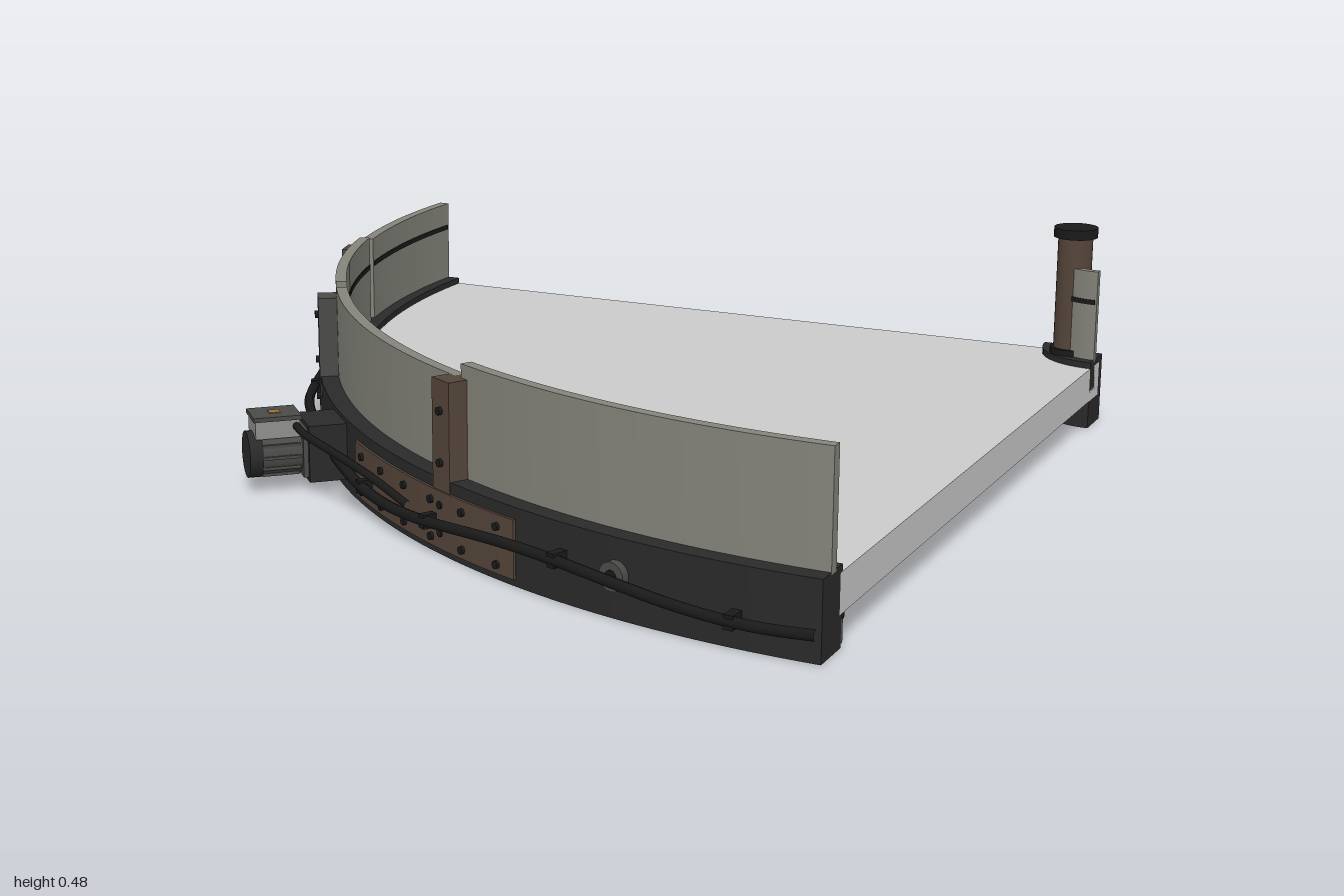
import * as THREE from 'three';
import { toCreasedNormals } from 'three/addons/utils/BufferGeometryUtils.js';

const DEG = Math.PI / 180;
const mat = (color) => new THREE.MeshStandardMaterial({ color });
const M = {
  belt: mat(0xcccccc), frame: mat(0x2a2a2a), black: mat(0x1a1a1a), guard: mat(0x85857c),
  wall: mat(0x55574f), bracket: mat(0x55453a), steel: mat(0x4a4a48), box: mat(0x90908c), amber: mat(0xa07040),
};

export function createModel() {
  const model = new THREE.Group();
  model.name = 'curvedConveyor';
  // The bend's pivot is the origin of this group; angle 0 is -x, 90 is +z
  const bend = new THREE.Group();
  bend.name = 'bend';
  bend.position.set(0.995, 0, -0.995);
  model.add(bend);

  const add = (name, geo, material, parent = bend) => {
    const mesh = new THREE.Mesh(geo, material);
    mesh.name = name;
    parent.add(mesh);
    return mesh;
  };
  const polar = (deg, r, y) =>
    new THREE.Vector3(-r * Math.cos(deg * DEG), y, r * Math.sin(deg * DEG));

  // Ring sector between two radii, heights and angles
  const sector = (name, r0, r1, y0, y1, material, a0 = 0, a1 = 90) => {
    const s = new THREE.Shape();
    const t0 = Math.PI + a0 * DEG, t1 = Math.PI + a1 * DEG;
    s.absarc(0, 0, r1, t0, t1, false);
    s.absarc(0, 0, r0, t1, t0, true);
    s.closePath();
    const steps = Math.max(8, Math.ceil((a1 - a0) / 1.5));
    const g = new THREE.ExtrudeGeometry(s, { depth: y1 - y0, bevelEnabled: false, curveSegments: steps });
    g.rotateX(-Math.PI / 2).translate(0, y0, 0);
    return add(name, toCreasedNormals(g, 0.5), material);
  };
  // Group whose local +x points outward from the pivot
  const radial = (name, deg, r, y) => {
    const g = new THREE.Group();
    g.name = name;
    g.position.copy(polar(deg, r, y));
    g.rotation.y = Math.PI + deg * DEG;
    bend.add(g);
    return g;
  };
  const box = (name, size, pos, material, parent) =>
    add(name, new THREE.BoxGeometry(...size), material, parent).position.set(...pos);
  const rod = (name, radius, len, pos, material, parent, sides = 20) => {
    const g = new THREE.CylinderGeometry(radius, radius, len, sides).rotateZ(Math.PI / 2);
    add(name, g, material, parent).position.set(...pos);
  };

  // Belt wedge and outer frame
  sector('belt', 0.08, 1.86, 0.067, 0.15, M.belt);
  sector('outerFrame', 1.85, 1.95, 0, 0.165, M.frame);
  sector('innerWall', 1.842, 1.851, 0.008, 0.055, M.wall);
  sector('beltLedge', 1.835, 1.852, 0.055, 0.067, M.black);
  for (const a of [8, 22, 37, 53, 68, 82]) {
    rod('wallScrew', 0.008, 0.008, [0, 0, 0], M.black, radial('wallScrewMount', a, 1.841, 0.03), 8);
  }

  // Side guards, each with a dark groove on its inner face
  for (const [a0, a1, top] of [[0, 16.4, 0.375], [17.4, 33.6, 0.385], [34.2, 61.3, 0.375], [62, 90, 0.405]]) {
    sector('guard', 1.882, 1.908, 0.16, top, M.guard, a0, a1);
    sector('guardGroove', 1.8795, 1.883, 0.303, 0.315, M.black, a0 + 0.2, a1 - 0.2);
  }

  // Upright guard brackets with bolts
  for (const [a, top, material] of [[16.9, 0.355, M.bracket], [34, 0.355, M.steel], [61.7, 0.375, M.bracket]]) {
    const g = radial('guardBracket', a, 1.93, 0);
    box('upright', [0.044, top - 0.02, 0.065], [0, (top + 0.02) / 2, 0], material, g);
    box('jointPlate', [0.02, top - 0.17, 0.06], [-0.026, (top + 0.17) / 2, 0], material, g);
    for (const y of [0.05, 0.11, 0.2, 0.31]) {
      rod('bolt', 0.009, 0.01, [0.025, y, 0], M.black, g, 8);
    }
  }

  // Joint plate on the outer face of the frame
  sector('splicePlate', 1.948, 1.956, 0.015, 0.14, M.bracket, 49, 69);
  for (let i = 0; i < 6; i++) {
    for (const y of [0.035, 0.115]) {
      rod('spliceBolt', 0.009, 0.01, [0, 0, 0], M.black, radial('spliceBoltMount', 50.5 + i * 3.4, 1.958, y), 8);
    }
  }

  // Round sensors on the outside of the frame
  for (const a of [14, 77]) {
    const g = radial('sensor', a, 1.955, 0.09);
    rod('sensorBody', 0.03, 0.025, [0, 0, 0], M.steel, g);
    rod('sensorLens', 0.014, 0.032, [0, 0, 0], M.black, g, 12);
  }

  // Cable along the frame, with clips
  const cableY = (a) => 0.08 + 0.018 * Math.sin(a * 0.2);
  const path = [];
  for (let a = 0; a <= 90; a += 3) path.push(polar(a, 1.978, cableY(a)));
  const tube = (name, pts, r, n) =>
    add(name, new THREE.TubeGeometry(new THREE.CatmullRomCurve3(pts), n, r, 8), M.black);
  tube('mainCable', path, 0.012, 120);
  for (const a of [7, 26, 52, 61, 73, 85]) {
    box('cableClip', [0.04, 0.03, 0.02], [0, 0, 0], M.black, radial('cableClipMount', a, 1.967, cableY(a)));
  }

  // Drive motor: gearbox, round body, terminal box and fan cover
  const motor = radial('driveMotor', 44.6, 1.95, 0.09);
  box('gearbox', [0.11, 0.13, 0.13], [0.03, 0, 0], M.frame, motor);
  box('gearboxFlange', [0.012, 0.11, 0.11], [0.09, 0, 0], M.steel, motor);
  rod('motorBody', 0.05, 0.12, [0.15, -0.005, 0], M.steel, motor, 24);
  rod('fanCover', 0.053, 0.03, [0.2, -0.005, 0], M.frame, motor, 24);
  for (let i = 0; i < 12; i++) {
    const t = (i * Math.PI) / 6;
    box('coolingFin', [0.085, 0.007, 0.007], [0.143, -0.005 + 0.051 * Math.sin(t), 0.051 * Math.cos(t)], M.steel, motor);
  }
  box('terminalBox', [0.1, 0.045, 0.085], [0.15, 0.06, 0], M.box, motor);
  box('terminalLid', [0.108, 0.01, 0.093], [0.15, 0.083, 0], M.steel, motor);
  box('ratingPlate', [0.025, 0.003, 0.025], [0.15, 0.0885, 0], M.amber, motor);
  tube('motorCable', [polar(46, 2.06, 0.155), polar(48, 2.06, 0.155), polar(51, 2.03, 0.14),
    polar(55, 2.0, 0.12), polar(59, 1.98, 0.09)], 0.009, 40);

  // Inner corner: hub, small guard and post
  sector('innerHub', 0.055, 0.16, 0, 0.165, M.frame);
  sector('innerGuard', 0.112, 0.132, 0.16, 0.385, M.guard);
  sector('innerGuardGroove', 0.131, 0.134, 0.303, 0.315, M.black, 2, 88);
  const post = new THREE.Group();
  post.name = 'cornerPost';
  post.position.copy(polar(45, 0.106, 0));
  bend.add(post);
  const upright = (name, r, y0, y1, material) =>
    add(name, new THREE.CylinderGeometry(r, r, y1 - y0, 28), material, post).position.set(0, (y0 + y1) / 2, 0);
  upright('postTube', 0.042, 0.01, 0.458, M.bracket);
  upright('postCollar', 0.05, 0.16, 0.18, M.black);
  upright('postCap', 0.053, 0.456, 0.48, M.black);

  return model;
}
